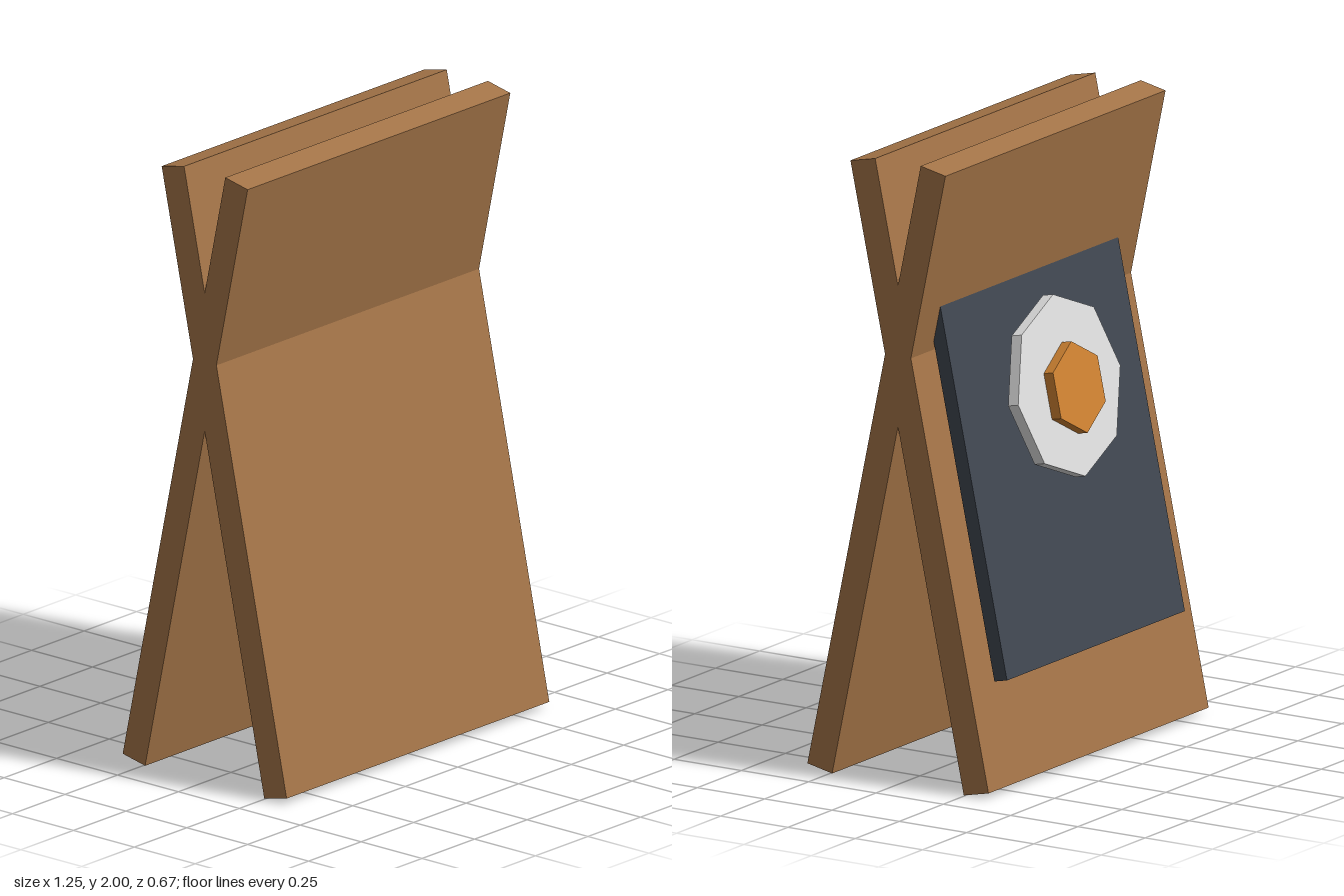
import * as THREE from 'three';

const TILT = THREE.MathUtils.degToRad(12);

function material(name, color) {
  const m = new THREE.MeshStandardMaterial({ color });
  m.name = name;
  return m;
}

export function createModel() {
  const group = new THREE.Group();
  group.name = 'crossedBoardStand';
  const wood = material('wood', 0xa57548);
  const slate = material('slate', 0x404751);
  const white = material('paleGrey', 0xe0e0e0);
  const orange = material('orange', 0xd08332);

  // Adds a part leaning by the common tilt; dir +1 leans its top forward
  const add = (name, geometry, mat, y, z, dir = 1) => {
    const mesh = new THREE.Mesh(geometry, mat);
    mesh.name = name;
    mesh.position.set(0, y, z);
    mesh.rotation.x = dir * TILT;
    group.add(mesh);
  };

  // Flat polygon plate facing z, with a corner pointing up and down
  const plate = (radius, depth, sides) =>
    new THREE.CylinderGeometry(radius, radius, depth, sides).toNonIndexed().rotateX(Math.PI / 2);

  // Two crossing boards
  const board = new THREE.BoxGeometry(1.25, 2.025, 0.094);
  add('frontBoard', board, wood, 1, 0.08, -1);
  add('backBoard', board, wood, 1, -0.08);

  // Panel and emblem plates stacked on the back board
  add('backPanel', new THREE.BoxGeometry(1.01, 1.446, 0.048), slate, 1.057, -0.153);
  const disc = plate(0.29, 0.038, 8);
  disc.computeVertexNormals();
  add('octagonPlate', disc, white, 1.174, -0.209);
  const hub = plate(0.146, 0.035, 6);
  hub.computeVertexNormals();
  add('hexagonHub', hub, orange, 1.174, -0.248);

  return group;
}
